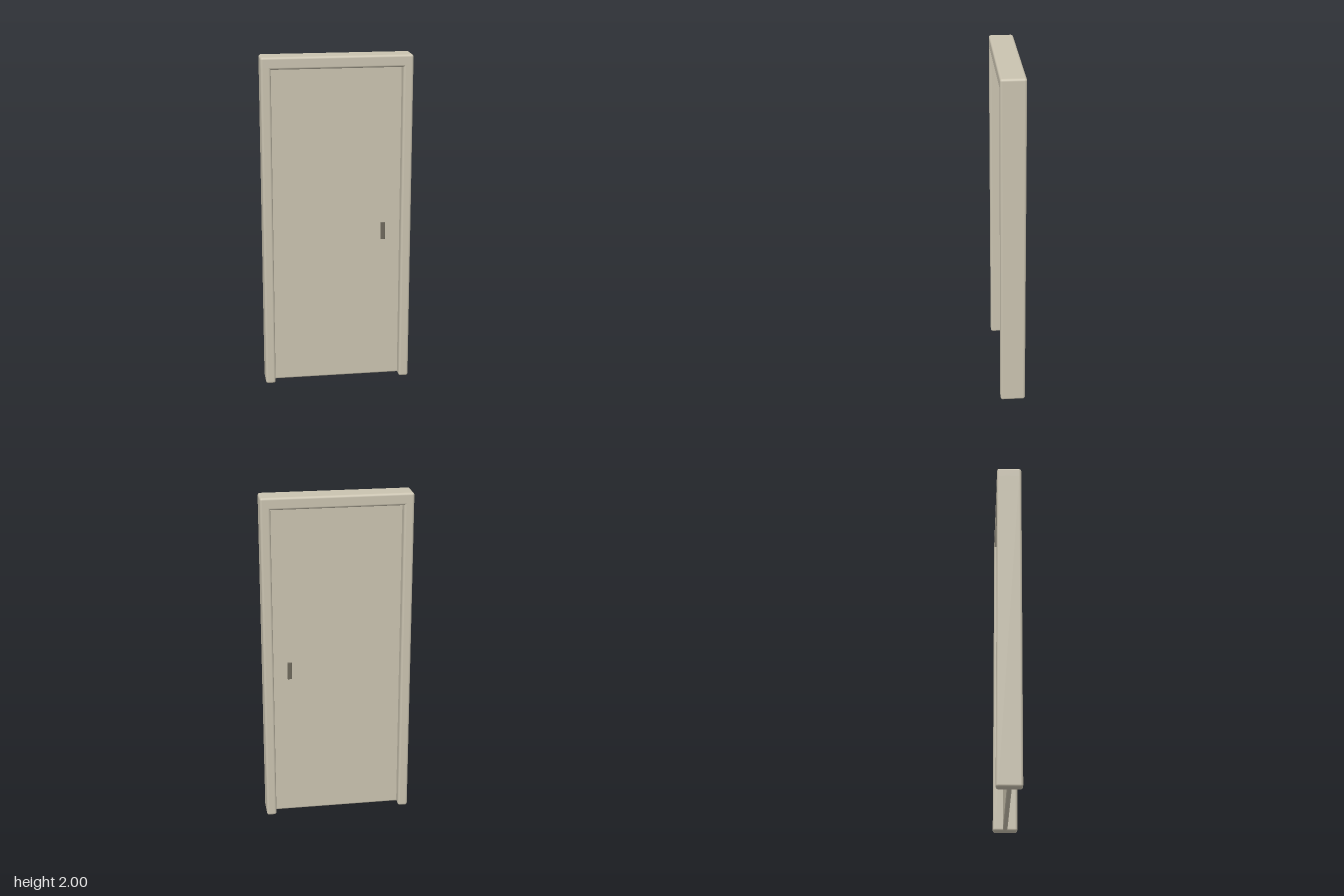
import * as THREE from 'three';
import { RoundedBoxGeometry } from 'three/addons/geometries/RoundedBoxGeometry.js';

export function createModel() {
  const model = new THREE.Group();
  model.name = 'door';

  const paint = new THREE.MeshStandardMaterial({ color: 0xcac3b0 });
  paint.name = 'beige paint';
  const dark = new THREE.MeshStandardMaterial({ color: 0x6e695c });
  dark.name = 'dark metal';

  // Rounded box given by its limits on each axis
  function block(name, [x0, x1], [y0, y1], halfDepth, radius, material) {
    const geometry = new RoundedBoxGeometry(x1 - x0, y1 - y0, halfDepth * 2, 4, radius);
    const mesh = new THREE.Mesh(geometry, material);
    mesh.name = name;
    mesh.position.set((x0 + x1) / 2, (y0 + y1) / 2, 0);
    model.add(mesh);
  }

  // Frame: two posts whose tops run slightly into the lintel
  block('leftJamb', [0.382, 0.441], [0, 1.96], 0.073, 0.014, paint);
  block('rightJamb', [-0.441, -0.382], [0, 1.96], 0.073, 0.014, paint);
  block('lintel', [-0.441, 0.441], [1.928, 2], 0.073, 0.014, paint);

  // Thin leaf set in the middle of the frame
  block('doorLeaf', [-0.395, 0.395], [0.003, 1.945], 0.014, 0.01, paint);

  // Handle passes through the leaf and shows on both faces
  block('handle', [0.268, 0.295], [0.88, 0.986], 0.021, 0.003, dark);

  return model;
}
